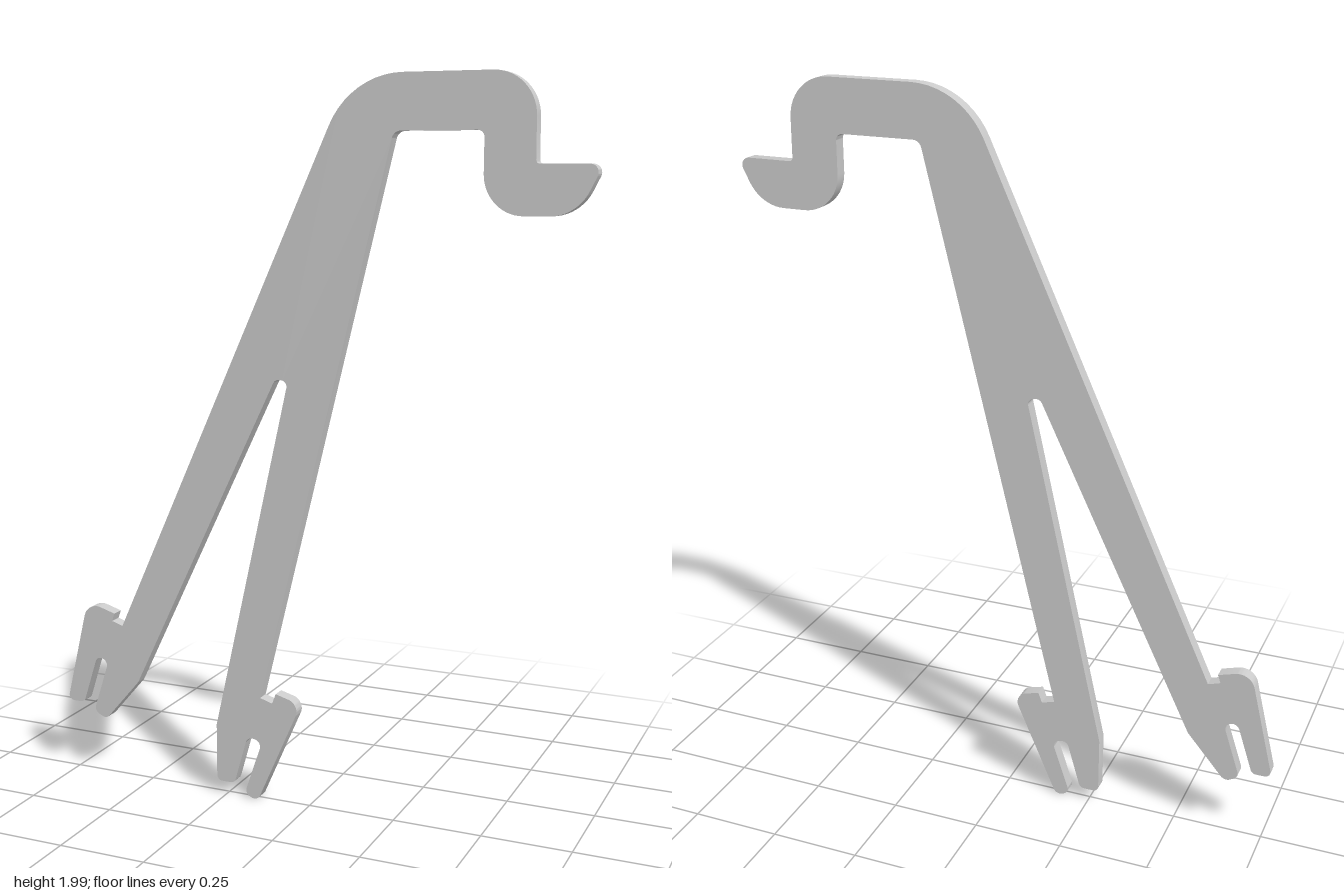
import * as THREE from 'three';
import { toCreasedNormals } from 'three/addons/utils/BufferGeometryUtils.js';

const THICKNESS = 0.037;

// Outline corners as [x, y, fillet radius], running clockwise from the shoulder.
const hook = [
  [0.12, 2, 0.22], [0.606, 2, 0.175], [0.608, 1.775, 0.01], [0.775, 1.775, 0.021],
  [0.712, 1.648, 0.127], [0.476, 1.648, 0.155], [0.476, 1.857, 0.018], [0.238, 1.857, 0.025],
];
const innerFoot = [
  [-0.143, 0.307, 0], [-0.106, 0.296, 0], [-0.095, 0.325, 0], [-0.019, 0.304, 0.045],
  [-0.153, -0.001, 0.02], [-0.193, 0.016, 0.02], [-0.138, 0.177, 0.02], [-0.183, 0.188, 0.02],
  [-0.225, 0.042, 0.016], [-0.28, 0.042, 0.016], [-0.28, 0.209, 0],
];
const crotch = [[-0.056, 1.204, 0.018], [-0.093, 1.209, 0.018]];
const outerFoot = [
  [-0.534, 0.299, 0.03], [-0.643, 0.172, 0.02], [-0.683, 0.193, 0.02], [-0.632, 0.349, 0.02],
  [-0.669, 0.362, 0.02], [-0.717, 0.214, 0.016], [-0.772, 0.214, 0.016], [-0.698, 0.524, 0.045],
  [-0.608, 0.497, 0], [-0.616, 0.474, 0], [-0.582, 0.463, 0],
];

// Closed polygon whose corners are replaced by tangent circular arcs.
function filletedShape(corners) {
  const points = [];
  const n = corners.length;
  const at = (i) => new THREE.Vector2(corners[(i + n) % n][0], corners[(i + n) % n][1]);
  for (let i = 0; i < n; i++) {
    const p = at(i);
    const toPrev = at(i - 1).sub(p);
    const toNext = at(i + 1).sub(p);
    const limit = 0.49 * Math.min(toPrev.length(), toNext.length());
    toPrev.normalize();
    toNext.normalize();
    const half = Math.acos(THREE.MathUtils.clamp(toPrev.dot(toNext), -1, 1)) / 2;
    const radius = Math.min(corners[i][2], limit * Math.tan(half));
    if (radius < 0.001) {
      points.push(p);
      continue;
    }
    const centre = toPrev.clone().add(toNext).normalize()
      .multiplyScalar(radius / Math.sin(half)).add(p);
    const start = toPrev.multiplyScalar(radius / Math.tan(half)).add(p).sub(centre);
    const end = toNext.multiplyScalar(radius / Math.tan(half)).add(p).sub(centre);
    const sweep = Math.atan2(start.cross(end), start.dot(end));
    const steps = Math.max(4, Math.ceil(Math.abs(sweep) / 0.12));
    for (let k = 0; k <= steps; k++) {
      points.push(start.clone().rotateAround(new THREE.Vector2(), sweep * k / steps).add(centre));
    }
  }
  return new THREE.Shape(points);
}

export function createModel() {
  const group = new THREE.Group();
  group.name = 'hookedStand';

  // One flat plate: hook on top, two legs, a slotted foot on each leg
  const shape = filletedShape([...hook, ...innerFoot, ...crotch, ...outerFoot]);
  const geometry = new THREE.ExtrudeGeometry(shape, { depth: THICKNESS, bevelEnabled: false });
  geometry.translate(0, 0, -THICKNESS / 2);

  const plate = new THREE.Mesh(
    toCreasedNormals(geometry, 0.5),
    new THREE.MeshStandardMaterial({ color: 0xcccccc }),
  );
  plate.name = 'hookedPlate';
  group.add(plate);
  return group;
}
